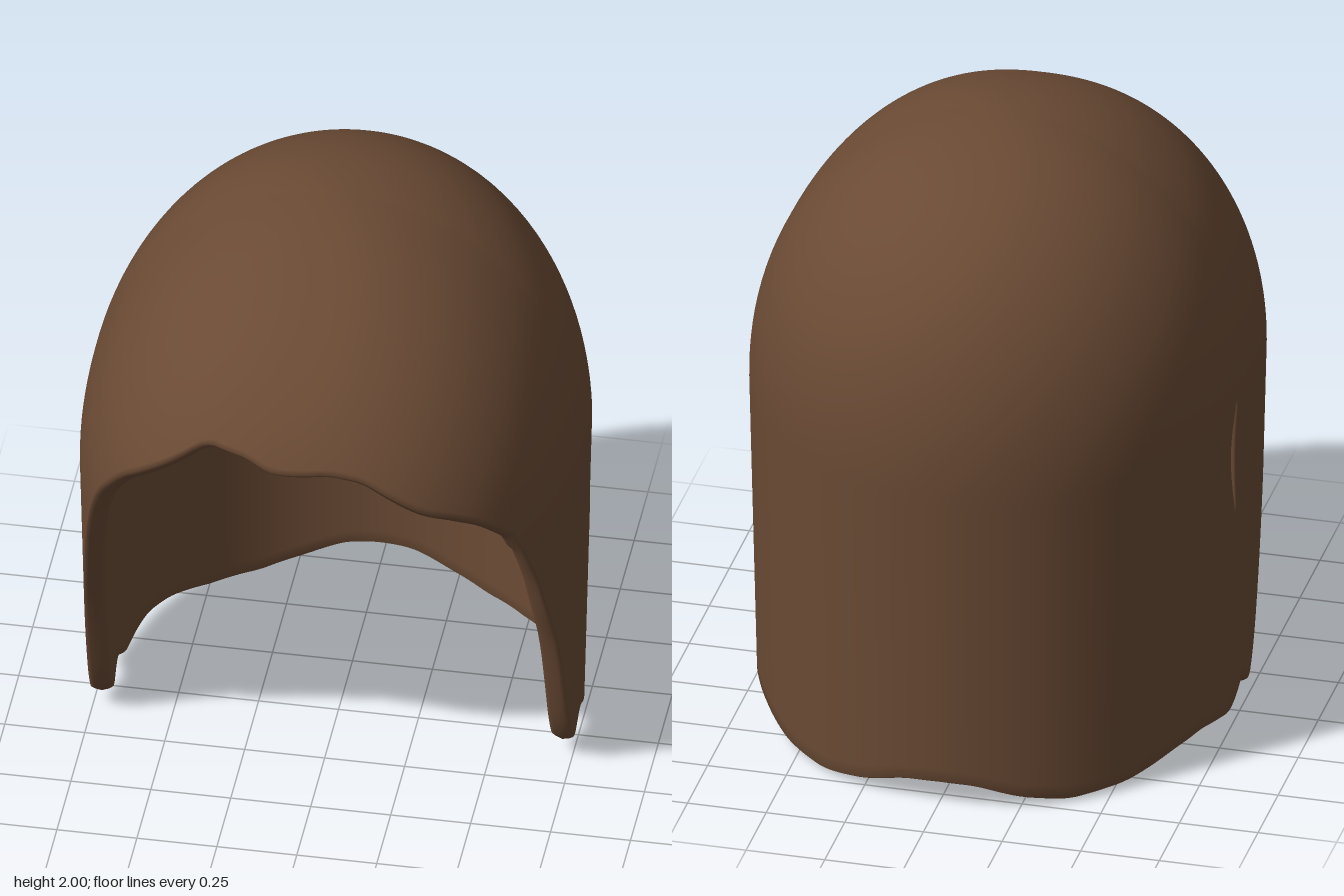
import * as THREE from 'three';
import { mergeVertices } from 'three/addons/utils/BufferGeometryUtils.js';

const RAD = Math.PI / 180;
const THICK = 0.07, SHOULDER = 1.1, DOME = 0.9, ROWS = 60;
const SLIT = 99; // degrees round from the front

// Rim height against angle from the front: [degrees, y]
const SIDE_AND_BACK = [
  [48, 1.2], [52, 1.06], [56, 0.95], [60.5, 0.78], [67, 0.58], [71.5, 0.38], [76.5, 0.17], [82, 0.05], [86, 0.09],
  [90, 0.125], [94, 0.085], [99, 0.055], [105, 0.07], [113, 0.085], [123, 0.07], [137, 0.025],
  [151, 0.01], [162, 0.035], [172, 0.075], [180, 0.08],
];
const BROW_LEFT = [[0, 1.54], [8, 1.55], [15, 1.53], [20, 1.48], [27, 1.41], [33, 1.37], [40, 1.31]];
const BROW_RIGHT = [[0, 1.54], [5, 1.54], [10, 1.57], [20, 1.58], [27, 1.49], [33, 1.42], [40, 1.34]];

function lookup(table, a) {
  for (let i = 1; i < table.length; i++) {
    if (a <= table[i][0]) {
      const [a0, y0] = table[i - 1], [a1, y1] = table[i];
      return y0 + (y1 - y0) * (a - a0) / (a1 - a0);
    }
  }
  return table[table.length - 1][1];
}

function rimHeight(deg) {
  let sum = 0;
  for (const d of [-2, -1, 0, 1, 2]) {
    let a = deg + d;
    if (a > 180) a -= 360;
    const table = (a >= 0 ? BROW_LEFT : BROW_RIGHT).concat(SIDE_AND_BACK);
    sum += lookup(table, Math.abs(a));
  }
  return sum / 5;
}

// How far the slit gapes at a height, 0 to 1
function gape(y) {
  const t = (y - 0.78) / 0.37;
  return t > 0 && t < 1 ? Math.sin(Math.PI * t) : 0;
}

// Point on the shell; q runs from the crown, over the dome, then straight down
function shellPoint(deg, q, inset, openDir) {
  const over = q > Math.PI / 2;
  const u = over ? 0 : Math.cos(q);
  const y = over ? SHOULDER - (q - Math.PI / 2) * DOME : SHOULDER + (DOME - inset) * u;
  const a = (deg + openDir * 0.75 * gape(y)) * RAD;
  const s = Math.sin(a), c = Math.cos(a);

  // Plan outline, a little fuller at the front
  const p = c > 0 ? 2.3 : 2;
  let r = Math.pow(Math.pow(Math.abs(s) / 0.78, p) + Math.pow(Math.abs(c) / (c > 0 ? 0.97 : 0.845), p), -1 / p);
  const e = 2 + 0.25 * Math.max(0, -c);
  r = (r - inset) * Math.pow(Math.max(0, 1 - Math.pow(u, e)), 1 / e);
  r *= 1 - 0.03 * Math.max(0, SHOULDER - y);

  // Pucker round the slit
  const off = Math.abs(deg) > 180 ? 360 - Math.abs(deg) : Math.abs(deg);
  r -= 0.012 * gape(y) * Math.exp(-Math.pow((off - SLIT) / 2.5, 2));
  return [r * s, y, r * c];
}

function column(deg, openDir) {
  const rim = rimHeight(deg > 180 ? deg - 360 : deg);
  const qAt = (y, inset) => y > SHOULDER
    ? Math.acos(Math.min(1, (y - SHOULDER) / (DOME - inset)))
    : Math.PI / 2 + (SHOULDER - y) / DOME;
  const run = (inset, end) => {
    const qEnd = qAt(end, inset);
    return Array.from({ length: ROWS + 1 }, (_, j) => shellPoint(deg, qEnd * j / ROWS, inset, openDir));
  };
  const outer = run(0, rim);
  const inner = run(THICK, rim - (rim > 1.1 ? 0.03 : 0));
  // Rounded lip between the outer and inner faces
  const lip = [0.2, 0.5, 0.8].map((t) =>
    outer[ROWS].map((v, k) => v + (inner[ROWS][k] - v) * t - (k === 1 ? 0.015 * Math.sin(Math.PI * t) : 0)));
  return { outer, inner, loop: [...outer, ...lip, ...inner.slice().reverse()] };
}

// Panel of columns between two angles, its end edges parting at the slits
function addPanel(pos, from, to, steps) {
  const quad = (a, b, c, d) => pos.push(...a, ...b, ...c, ...a, ...c, ...d);
  const cols = [];
  for (let i = 0; i <= steps; i++) {
    cols.push(column(from + (to - from) * i / steps, i === 0 ? 1 : i === steps ? -1 : 0));
  }
  for (let i = 0; i < steps; i++) {
    const A = cols[i].loop, B = cols[i + 1].loop;
    for (let j = 0; j < A.length - 1; j++) quad(A[j], A[j + 1], B[j + 1], B[j]);
  }
  // Walls of the slits
  [cols[0], cols[steps]].forEach(({ outer, inner }, end) => {
    for (let j = 0; j < ROWS; j++) {
      if (!gape(outer[j][1]) && !gape(outer[j + 1][1])) continue;
      if (end === 0) quad(inner[j], inner[j + 1], outer[j + 1], outer[j]);
      else quad(outer[j], outer[j + 1], inner[j + 1], inner[j]);
    }
  });
}

export function createModel() {
  const group = new THREE.Group();
  group.name = 'hood';

  const pos = [];
  addPanel(pos, -SLIT, SLIT, 132);
  addPanel(pos, SLIT, 360 - SLIT, 100);

  let geometry = new THREE.BufferGeometry();
  geometry.setAttribute('position', new THREE.Float32BufferAttribute(pos, 3));
  geometry = mergeVertices(geometry, 1e-4);
  geometry.computeVertexNormals();

  const shell = new THREE.Mesh(geometry, new THREE.MeshStandardMaterial({ color: 0x6a4a34, side: THREE.DoubleSide }));
  shell.name = 'hoodShell';
  group.add(shell);
  return group;
}
